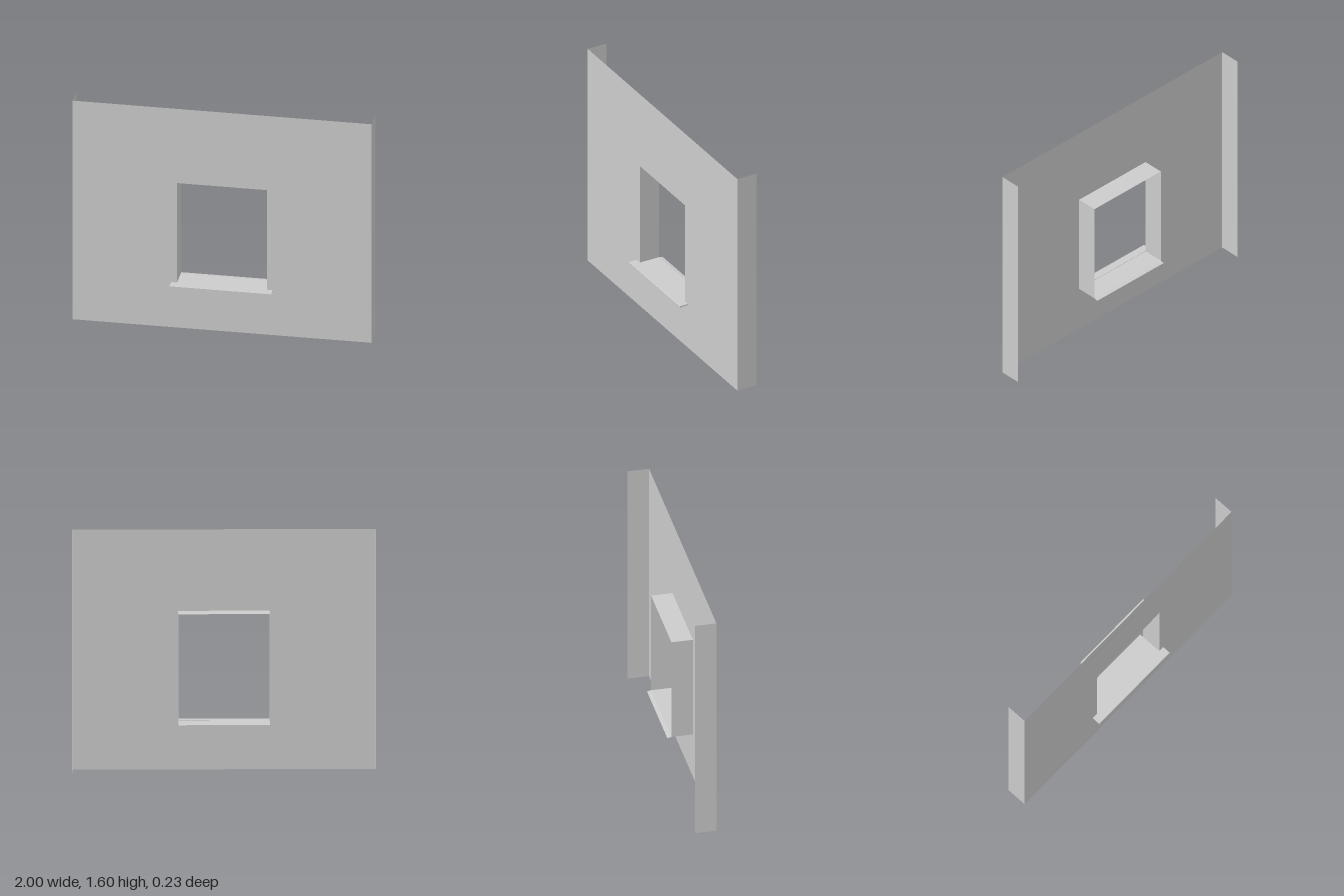
import * as THREE from 'three';

const W = 1, H = 1.6;                       // half width and height of the wall
const FRONT = 0.057, BACK = -0.088;         // wall face and rear edge of the returns
const OX = 0.302, OY0 = 0.327, OY1 = 1.057; // window opening

export function createModel() {
  const group = new THREE.Group();
  const sheet = new THREE.MeshStandardMaterial({ color: 0xcccccc, side: THREE.DoubleSide, flatShading: true });

  const add = (name, geometry) => {
    const mesh = new THREE.Mesh(geometry, sheet);
    mesh.name = name;
    group.add(mesh);
    return mesh;
  };

  // Thin four-cornered sheet, corners given counter-clockwise
  const quad = (name, a, b, c, d) => {
    const g = new THREE.BufferGeometry();
    g.setAttribute('position', new THREE.Float32BufferAttribute([...a, ...b, ...c, ...d], 3));
    g.setIndex([0, 1, 2, 0, 2, 3]);
    g.computeVertexNormals();
    return add(name, g);
  };

  // Upright sheet at x, running from the wall face to the rear edge
  const upright = (name, x, y0, y1, s) => s > 0
    ? quad(name, [x, y0, FRONT], [x, y0, BACK], [x, y1, BACK], [x, y1, FRONT])
    : quad(name, [x, y0, BACK], [x, y0, FRONT], [x, y1, FRONT], [x, y1, BACK]);

  // Wall face with the window opening
  const face = new THREE.Shape([[-W, 0], [W, 0], [W, H], [-W, H]].map(p => new THREE.Vector2(...p)));
  face.holes.push(new THREE.Path([[-OX, OY0], [-OX, OY1], [OX, OY1], [OX, OY0]].map(p => new THREE.Vector2(...p))));
  add('wallFace', new THREE.ShapeGeometry(face)).position.z = FRONT;

  // Wall end returns and window jambs
  for (const [side, s] of [['left', 1], ['right', -1]]) {
    upright(side + 'WallReturn', s * W, 0, H, s);
    upright(side + 'Jamb', s * OX, OY0, OY1, -s);
  }

  // Head and bottom of the opening
  quad('windowHead', [-OX, OY1, BACK], [OX, OY1, BACK], [OX, OY1, FRONT], [-OX, OY1, FRONT]);
  quad('windowBottom', [-OX, OY0, FRONT], [OX, OY0, FRONT], [OX, OY0, BACK], [-OX, OY0, BACK]);

  // Narrow inner ledge behind the opening
  quad('innerLedge', [-OX, OY0, BACK], [OX, OY0, BACK], [OX, 0.322, -0.116], [-OX, 0.322, -0.116]);

  // Outer sill with a bent-down drip edge, profile in (z, y)
  const sill = new THREE.Shape([
    [FRONT, 0.321], [0.108, 0.321], [0.108, 0.314], [0.116, 0.314],
    [0.116, 0.326], [0.113, 0.329], [FRONT, 0.329],
  ].map(p => new THREE.Vector2(...p)));
  const sillMesh = add('outerSill', new THREE.ExtrudeGeometry(sill, { depth: 0.68, bevelEnabled: false }));
  sillMesh.rotation.y = -Math.PI / 2;
  sillMesh.position.x = 0.34;

  return group;
}
